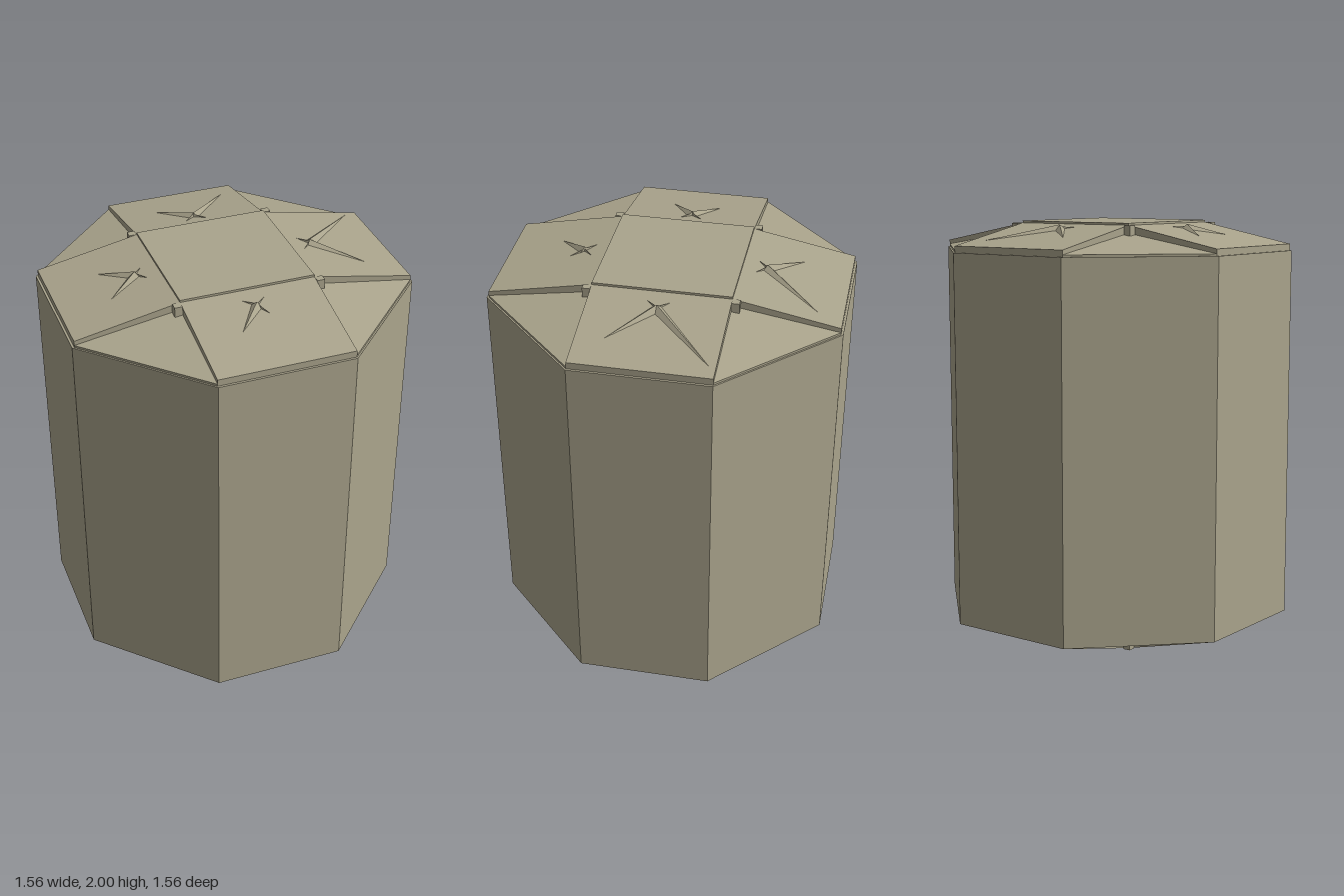
import * as THREE from 'three';
import { ConvexGeometry } from 'three/addons/geometries/ConvexGeometry.js';

const H = 0.305;          // half width of the flat sides and of the central square
const R = 0.78;           // distance from the axis to the flat sides
const LID = 0.77;         // slightly inset radius of the lid
const BASE = 0.17, TOP = 1.87;

export function createModel() {
  const model = new THREE.Group();
  const khaki = new THREE.MeshStandardMaterial({ color: 0xaaa48c });

  const add = (parent, name, geometry) => {
    const mesh = new THREE.Mesh(geometry, khaki);
    mesh.name = name;
    parent.add(mesh);
    return mesh;
  };
  const box = (parent, name, w, h, d, x, y, z) =>
    add(parent, name, new THREE.BoxGeometry(w, h, d)).position.set(x, y, z);
  const hull = (parent, name, points) =>
    add(parent, name, new ConvexGeometry(points.map((p) => new THREE.Vector3(...p))));
  const shapeOf = (points) => new THREE.Shape(points.map((p) => new THREE.Vector2(...p)));

  // Eight-sided drum
  const outline = [[R, -H], [R, H], [H, R], [-H, R], [-R, H], [-R, -H], [-H, -R], [H, -R]];
  const drum = new THREE.ExtrudeGeometry(shapeOf(outline), { depth: TOP - BASE, bevelEnabled: false });
  drum.rotateX(-Math.PI / 2).translate(0, BASE, 0);
  add(model, 'drumBody', drum);

  // Square core that shows as the flat plate at both ends, and the foot below
  box(model, 'endPlates', 2 * H, 1.955, 2 * H, 0, 1.0225, 0);
  box(model, 'foot', 0.23, 0.06, 0.23, 0, 0.03, 0);

  // Sloping panel from the central plate to one side
  const panel = (parent, name, profile) => {
    const g = new THREE.ExtrudeGeometry(shapeOf(profile), { depth: 2 * H, bevelEnabled: false });
    add(parent, name, g.translate(0, 0, -H));
  };

  // Raised spiky mark on a panel: one thin tapering ridge for each arm
  const spikes = (parent, name, arms, height, out) => {
    const c = 0.41;
    const star = new THREE.Group();
    star.name = name;
    parent.add(star);
    for (const [r, z] of [...arms, [0.365, 0.05], [0.365, -0.05]]) {
      const length = Math.hypot(r - c, z);
      const w = length > 0.1 ? 0.026 : 0.004;
      const nx = (-z / length) * w, nz = ((r - c) / length) * w;
      const lift = length > 0.1 ? 0.021 : 0.012;
      hull(star, 'ridge', [
        [c, height(c) + out * lift, 0],
        [r, height(r), z],
        [c + nx, height(c + nx) - out * 0.003, nz],
        [c - nx, height(c - nx) - out * 0.003, -nz],
      ]);
    }
  };

  const topHeight = (r) => 1.99 - (0.09 * (r - H)) / (LID - H);
  const bottomHeight = (r) => 0.05 + (0.12 * (r - H)) / (R - H);

  // Arm ends as [distance from axis, sideways] for the left, back, right and front panels
  const topArms = [
    [[0.71, -0.28], [0.61, 0.18]],
    [[0.66, 0.23], [0.56, -0.14]],
    [[0.55, 0.11], [0.55, -0.11]],
    [[0.54, 0.11], [0.47, -0.04]],
  ];
  const bottomArms = [
    [[0.54, 0.13], [0.54, -0.13]],
    [[0.6, 0.18], [0.52, -0.1]],
    [[0.57, 0.15], [0.6, -0.18]],
    [[0.62, 0.2], [0.52, -0.17]],
  ];

  ['left', 'back', 'right', 'front'].forEach((side, k) => {
    const quarter = new THREE.Group();
    quarter.name = side + 'Quarter';
    quarter.rotation.y = (k * Math.PI) / 2;
    model.add(quarter);

    panel(quarter, 'lidPanel', [[H, TOP], [LID, TOP], [LID, 1.9], [H, 1.99]]);
    panel(quarter, 'basePanel', [[H, BASE], [H, 0.05], [R, BASE]]);
    spikes(quarter, 'lidSpikes', topArms[k], topHeight, 1);
    spikes(quarter, 'baseSpikes', bottomArms[k], bottomHeight, -1);

    // Sunken corner triangles between neighbouring panels
    hull(quarter, 'lidCorner', [
      [H, TOP, H], [LID, TOP, H], [H, TOP, LID],
      [H, 1.955, H], [LID, 1.88, H], [H, 1.88, LID],
    ]);
    hull(quarter, 'baseCorner', [[H, BASE, H], [R, BASE, H], [H, BASE, R], [H, 0.085, H]]);

    // Small blocks where the corners meet the central plate
    box(quarter, 'lidBlock', 0.035, 0.045, 0.035, H + 0.0175, 1.9675, H + 0.0175);
    box(quarter, 'baseBlock', 0.035, 0.045, 0.035, H + 0.0175, 0.0775, H + 0.0175);
  });

  return model;
}
